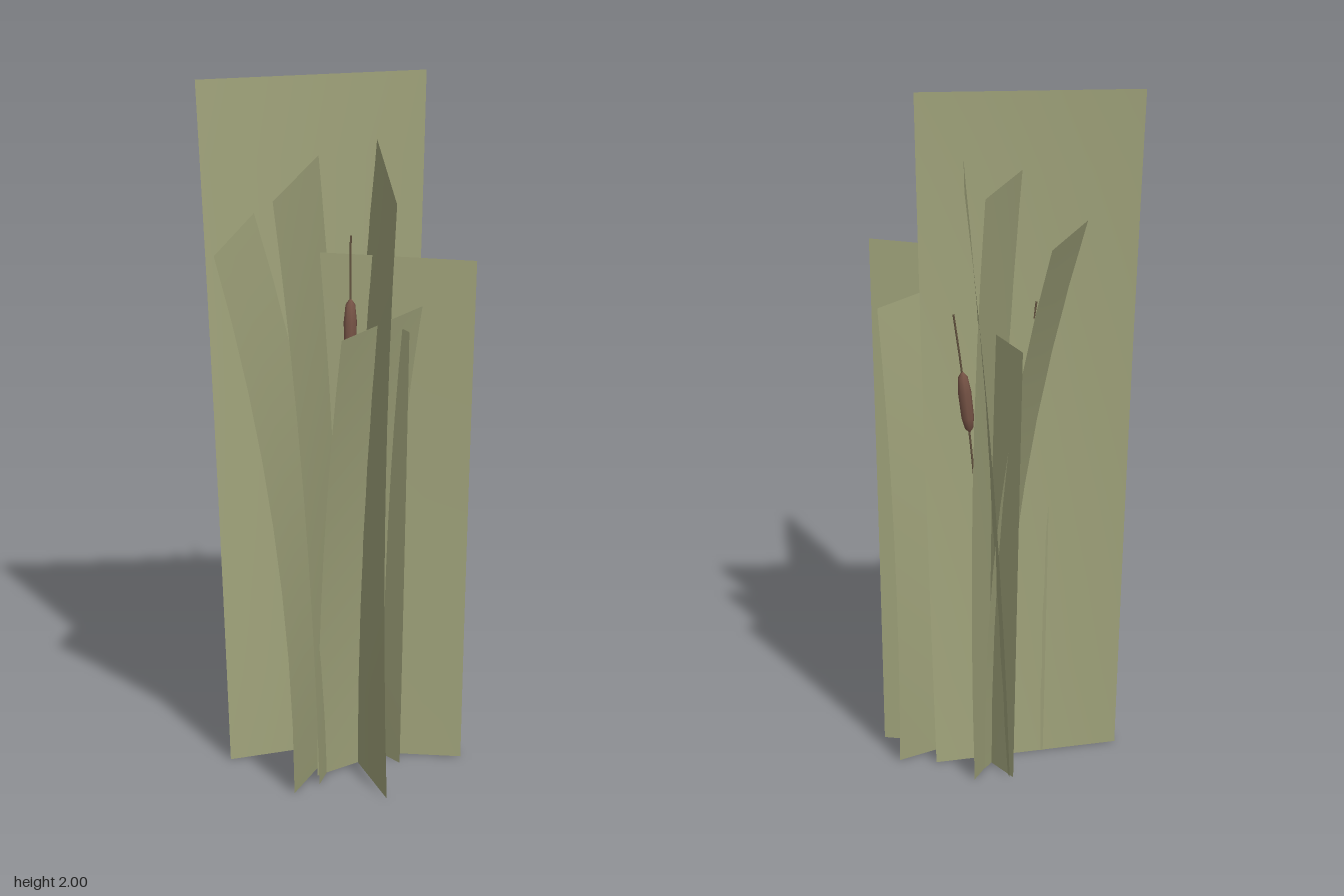
import * as THREE from 'three';

const leafMat = new THREE.MeshStandardMaterial({ color: 0x9fa27a, side: THREE.DoubleSide });
const headMat = new THREE.MeshStandardMaterial({ color: 0x7a5648 });
const stemMat = new THREE.MeshStandardMaterial({ color: 0x6b5a45 });

// Leaf sheet: straight edge b0-b1 on the ground to t0-t1 at height h.
// The midline bows outward with height, while the width and twist change evenly.
function leafSheet(h, b0, b1, t0, t1) {
  const geo = new THREE.PlaneGeometry(1, 1, 4, 8);
  const p = geo.attributes.position;
  for (let i = 0; i < p.count; i++) {
    const s = p.getX(i), t = p.getY(i) + 0.5;
    const at = (k) => {
      const mid = THREE.MathUtils.lerp((b0[k] + b1[k]) / 2, (t0[k] + t1[k]) / 2, t * t);
      return mid + s * THREE.MathUtils.lerp(b1[k] - b0[k], t1[k] - t0[k], t);
    };
    p.setXYZ(i, at(0), h * t, at(1));
  }
  geo.computeVertexNormals();
  return new THREE.Mesh(geo, leafMat);
}

// Reed: thin bowed stem with a spindle-shaped seed head near the tip
function reed(base, tip, headY) {
  const g = new THREE.Group();
  const curve = new THREE.QuadraticBezierCurve3(
    new THREE.Vector3(base[0], 0, base[1]),
    new THREE.Vector3(base[0], tip[1] * 0.5, base[1]),
    new THREE.Vector3(...tip));
  const stem = new THREE.Mesh(new THREE.TubeGeometry(curve, 10, 0.003, 5), stemMat);
  stem.name = 'stem';
  const profile = [[0, -0.1], [0.012, -0.085], [0.018, -0.05], [0.019, 0.03], [0.014, 0.08], [0, 0.1]]
    .map(([r, y]) => new THREE.Vector2(r, y));
  const head = new THREE.Mesh(new THREE.LatheGeometry(profile, 8), headMat);
  head.name = 'seedHead';
  const u = Math.sqrt(headY / tip[1]) * 0.5 + headY / tip[1] * 0.5;
  let k = u;
  for (let n = 0; n < 12; n++) k += (headY - curve.getPoint(k).y) / tip[1];
  head.position.copy(curve.getPoint(k));
  head.quaternion.setFromUnitVectors(new THREE.Vector3(0, 1, 0), curve.getTangent(k));
  g.add(stem, head);
  return g;
}

export function createModel() {
  const model = new THREE.Group();

  // Crossing leaf sheets: height, ground edge ends, top edge ends (x, z)
  const sheets = [
    ['tallBackLeaf', 2.0, [-0.29, -0.07], [0.23, -0.185], [-0.37, -0.185], [0.29, -0.135]],
    ['wideCentreLeaf', 1.8, [0.07, 0.355], [0.04, -0.335], [0.085, 0.427], [0.18, -0.427]],
    ['innerRightLeaf', 1.76, [-0.09, 0.195], [0.14, -0.34], [-0.23, 0.215], [0.115, -0.385]],
    ['outerRightLeaf', 1.6, [-0.175, 0.255], [0.1, -0.25], [-0.395, 0.19], [-0.075, -0.39]],
    ['leftLeaf', 1.49, [-0.08, -0.12], [0.35, 0.04], [-0.11, -0.125], [0.392, 0.073]],
    ['frontLeaf', 1.345, [-0.08, 0.12], [0.33, -0.155], [-0.04, 0.26], [0.39, -0.11]],
    ['narrowLeaf', 1.3, [0.17, 0.06], [0.03, -0.335], [0.19, 0.1], [0.01, -0.4]],
  ];
  for (const [name, ...dims] of sheets) {
    const leaf = leafSheet(...dims);
    leaf.name = name;
    model.add(leaf);
  }

  // Reeds with seed heads: ground point, tip, head height
  const reeds = [
    [[0.08, -0.14], [0.19, 1.37, -0.25], 1.09],
    [[0.05, -0.06], [0.046, 1.56, -0.02], 1.27],
    [[0.03, -0.06], [-0.06, 1.36, -0.145], 1.13],
  ];
  reeds.forEach((r, i) => {
    const m = reed(...r);
    m.name = 'reed' + (i + 1);
    model.add(m);
  });
  return model;
}
